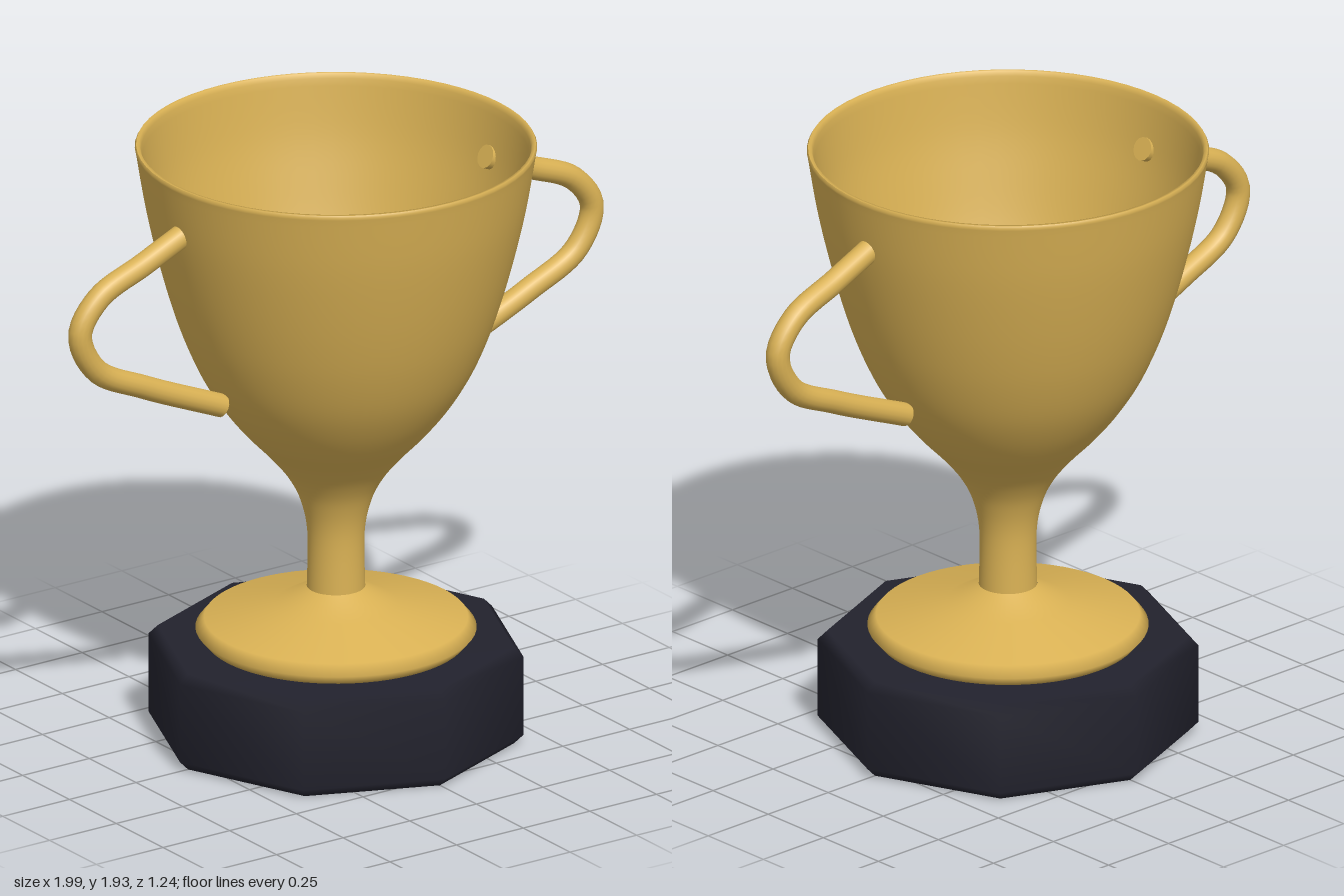
import * as THREE from 'three';

const gold = new THREE.MeshStandardMaterial({ color: 0xd9b154 });
gold.name = 'gold';
const black = new THREE.MeshStandardMaterial({ color: 0x22222d });
black.name = 'black';

// Revolve a list of [radius, height] points, ordered so faces point outward
function lathe(name, profile, segments, material) {
  const points = profile.map(([r, y]) => new THREE.Vector2(r, y));
  const mesh = new THREE.Mesh(new THREE.LatheGeometry(points, segments), material);
  mesh.name = name;
  return mesh;
}

// Smooth a few profile points into a denser profile
function smooth(profile, count) {
  const curve = new THREE.SplineCurve(profile.map(([r, y]) => new THREE.Vector2(r, y)));
  return curve.getPoints(count).map((p) => [Math.max(p.x, 0), p.y]);
}

// Bent tube handle with closed ends; side is +1 (left) or -1 (right)
function handle(side) {
  const radius = 0.037;
  const path = new THREE.CatmullRomCurve3(
    [[0.56, 1.77], [0.72, 1.7], [0.89, 1.625], [0.96, 1.52], [0.9, 1.39], [0.72, 1.295], [0.43, 1.17]]
      .map(([x, y]) => new THREE.Vector3(side * x, y, 0)));
  const group = new THREE.Group();
  group.name = side > 0 ? 'leftHandle' : 'rightHandle';
  const tube = new THREE.Mesh(new THREE.TubeGeometry(path, 48, radius, 16), gold);
  tube.name = 'handleTube';
  group.add(tube);
  for (const t of [0, 1]) {
    const cap = new THREE.Mesh(new THREE.CircleGeometry(radius, 16), gold);
    cap.name = 'handleEnd';
    const outward = path.getTangent(t).multiplyScalar(t ? 1 : -1);
    cap.position.copy(path.getPoint(t));
    cap.quaternion.setFromUnitVectors(new THREE.Vector3(0, 0, 1), outward);
    group.add(cap);
  }
  return group;
}

export function createModel() {
  const model = new THREE.Group();
  model.name = 'trophyCup';

  // Bevelled octagonal plinth
  model.add(lathe('plinth', [
    [0, 0], [0.555, 0], [0.585, 0.03], [0.585, 0.285], [0.555, 0.315], [0, 0.315],
  ], 8, black));

  // Round foot
  model.add(lathe('foot', [
    [0, 0.315], [0.405, 0.315], [0.432, 0.347], [0.405, 0.38], [0.19, 0.428], [0.09, 0.484],
  ], 64, gold));

  // Stem flowing into the bowl
  const outside = smooth([
    [0.09, 0.48], [0.088, 0.66], [0.11, 0.77], [0.15, 0.85], [0.21, 0.925], [0.29, 1.01], [0.36, 1.1],
    [0.42, 1.2], [0.472, 1.32], [0.515, 1.45], [0.555, 1.6], [0.588, 1.75], [0.616, 1.92],
  ], 60);
  model.add(lathe('bowl', [...outside, [0.618, 1.928], [0.614, 1.935]], 64, gold));

  // Rim and hollow inside
  const inside = smooth([
    [0.598, 1.92], [0.572, 1.75], [0.537, 1.6], [0.497, 1.45], [0.452, 1.32], [0.395, 1.2],
    [0.31, 1.09], [0.17, 0.98], [0, 0.89],
  ], 40);
  model.add(lathe('bowlInside', [[0.614, 1.935], [0.604, 1.935], ...inside], 64, gold));

  model.add(handle(1), handle(-1));
  return model;
}
